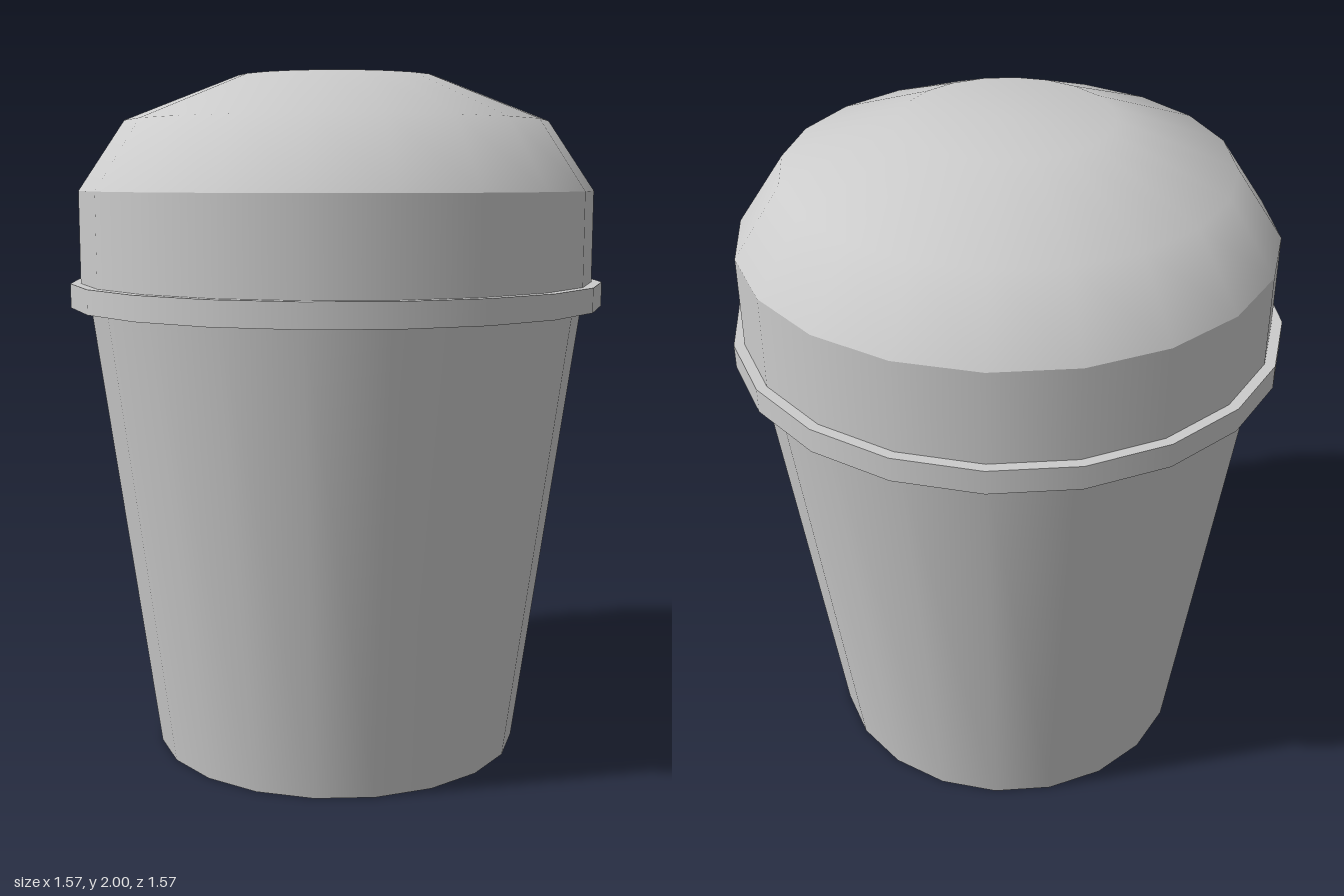
import * as THREE from 'three';

const SIDES = 20;

export function createModel() {
  const root = new THREE.Group();
  const smooth = new THREE.MeshStandardMaterial({ color: 0xcccccc });
  const faceted = new THREE.MeshStandardMaterial({ color: 0xcccccc, flatShading: true });

  // One smooth turned band; separate bands meet at a sharp edge.
  function band(points, material = smooth) {
    const profile = points.map(([r, y]) => new THREE.Vector2(r, y));
    return new THREE.Mesh(new THREE.LatheGeometry(profile, SIDES), material);
  }
  function part(name, meshes) {
    const group = new THREE.Group();
    group.name = name;
    meshes.forEach(([label, mesh]) => {
      mesh.name = label;
      group.add(mesh);
    });
    root.add(group);
  }

  // Tapered cup with a recessed underside
  part('cup', [
    ['cupFloor', band([[0, 0.15], [0.52, 0.15]], faceted)],
    ['recessWall', band([[0.52, 0.15], [0.51, 0]], faceted)],
    ['footRim', band([[0.51, 0], [0.545, 0]], faceted)],
    ['cupWall', band([[0.545, 0], [0.727, 1.335]])],
  ]);

  // Flange of the lid, gripping the cup
  part('lidFlange', [
    ['flangeUnderside', band([[0.70, 1.335], [0.785, 1.335]], faceted)],
    ['flangeEdge', band([[0.785, 1.335], [0.785, 1.405]])],
    ['flangeTop', band([[0.785, 1.405], [0.755, 1.405]], faceted)],
  ]);

  // Domed lid
  part('lid', [
    ['lidWall', band([[0.755, 1.405], [0.755, 1.67]])],
    ['lidDome', band([[0.755, 1.67], [0.62, 1.87], [0.29, 2], [0, 2]])],
  ]);

  return root;
}
